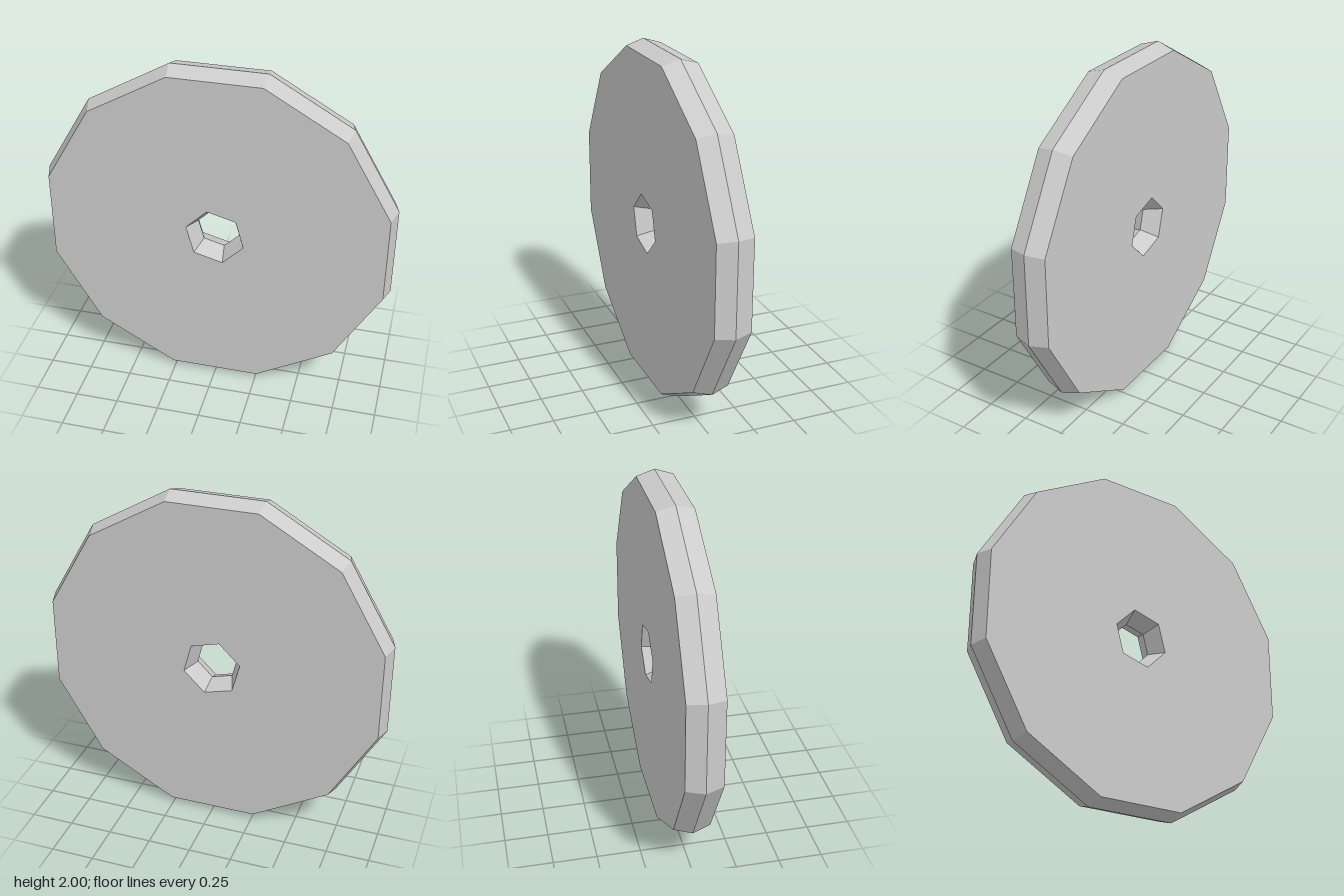
import * as THREE from 'three';

const START = Math.PI / 12; // both polygons are turned by 15 degrees
const HALF = 0.1035; // half the thickness
const RIM = 1.035, FACE = 1.002; // twelve-sided outline: at mid-plane and at each face
const WAIST = 0.123, MOUTH = 0.172; // six-sided hole: at mid-plane and at each face

const material = new THREE.MeshStandardMaterial({ color: 0xcccccc, flatShading: true });
const holeMaterial = new THREE.MeshStandardMaterial({ color: 0xcccccc, flatShading: true, side: THREE.DoubleSide });

// Corners of a regular polygon in the xy plane
function polygon(radius, sides) {
  return Array.from({ length: sides }, (_, i) => {
    const a = START + (i * 2 * Math.PI) / sides;
    return new THREE.Vector2(radius * Math.cos(a), radius * Math.sin(a));
  });
}

// Sloping band from the mid-plane (z = 0) out to the face (z = HALF)
function band(faceRadius, midRadius, sides) {
  return new THREE.CylinderGeometry(faceRadius, midRadius, HALF, sides, 1, true, START)
    .rotateX(Math.PI / 2)
    .translate(0, 0, HALF / 2);
}

function addMesh(parent, name, geometry, mat = material) {
  const mesh = new THREE.Mesh(geometry, mat);
  mesh.name = name;
  parent.add(mesh);
}

// One half of the disc: flat face, bevelled rim and tapered hole wall
function createHalf(name) {
  const half = new THREE.Group();
  half.name = name;
  const outline = new THREE.Shape(polygon(FACE, 12));
  outline.holes.push(new THREE.Path(polygon(MOUTH, 6).map((p) => p.rotateAround(new THREE.Vector2(), Math.PI / 6))));
  addMesh(half, 'face', new THREE.ShapeGeometry(outline).translate(0, 0, HALF));
  addMesh(half, 'rimBevel', band(FACE, RIM, 12));
  addMesh(half, 'holeWall', band(MOUTH, WAIST, 6), holeMaterial);
  return half;
}

export function createModel() {
  const model = new THREE.Group();
  model.name = 'disc';
  const front = createHalf('frontHalf');
  const back = createHalf('backHalf');
  // Turn over about a diagonal through opposite hole corners so both halves meet
  back.quaternion.setFromAxisAngle(new THREE.Vector3(1, 1, 0).normalize(), Math.PI);
  front.position.y = back.position.y = 1;
  model.add(front, back);
  return model;
}
